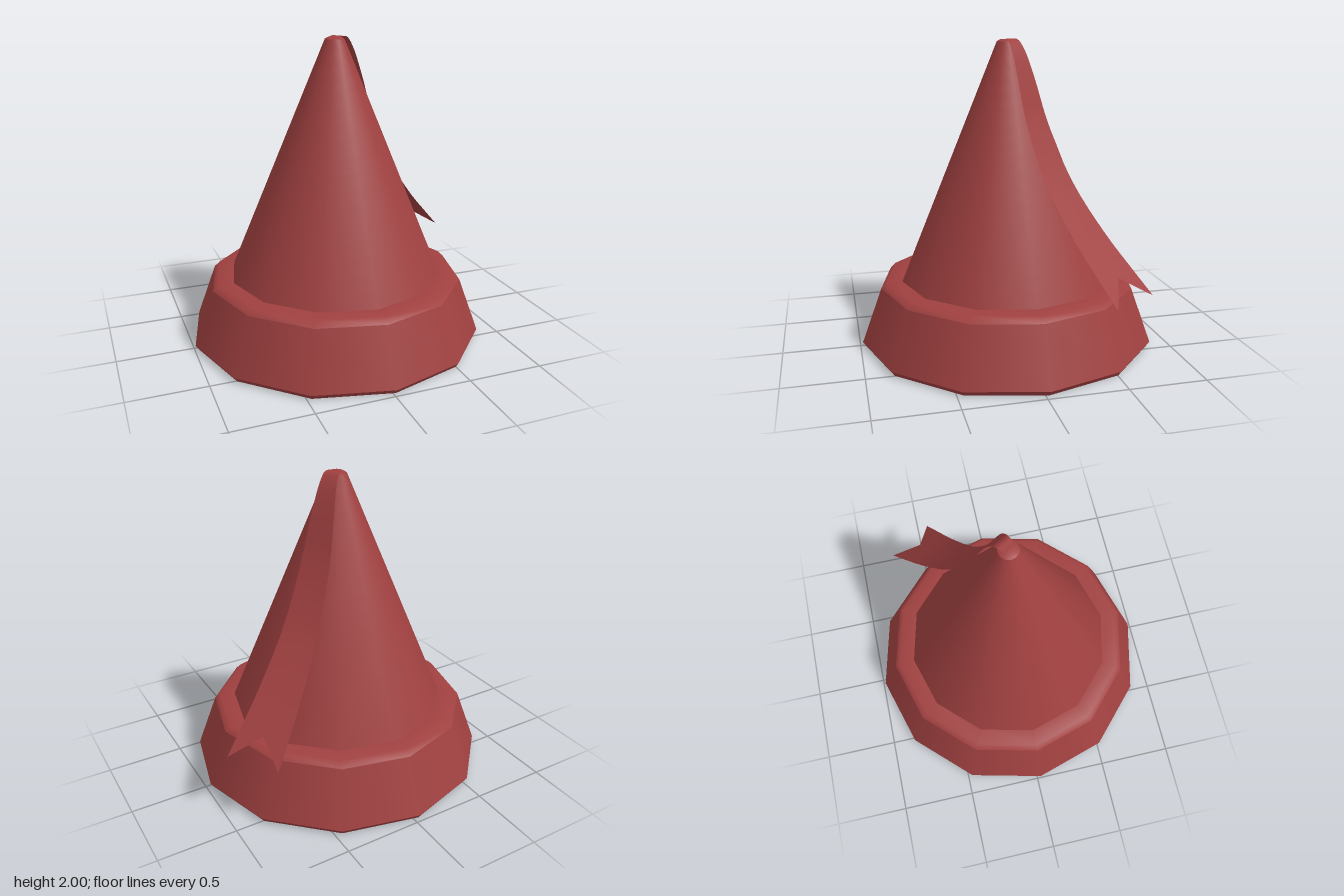
import * as THREE from 'three';
import { mergeGeometries } from 'three/addons/utils/BufferGeometryUtils.js';

const SIDES = 12;
const TWIST = 0.026;

// Twelve-sided turned shape: smooth within each run of points, sharp between runs
function turned(...runs) {
  const geometry = mergeGeometries(runs.map((run) => new THREE.LatheGeometry(
    run.map(([r, y]) => new THREE.Vector2(r, y)), SIDES, TWIST, Math.PI * 2)));
  geometry.normalizeNormals();
  return geometry;
}

// Evenly spaced points along a straight wall
function wall([r0, y0], [r1, y1], rows = 16) {
  return Array.from({ length: rows + 1 }, (_, i) => [
    THREE.MathUtils.lerp(r0, r1, i / rows), THREE.MathUtils.lerp(y0, y1, i / rows),
  ]);
}

// Ribbon that widens as it swoops away from the tip, ending in a swallowtail
function ribbonGeometry() {
  // distance from the axis, height, half width
  const path = new THREE.CatmullRomCurve3([
    [0, 2.0, 0.043], [0.05, 1.998, 0.05], [0.1, 1.94, 0.058], [0.172, 1.765, 0.077], [0.268, 1.49, 0.098],
    [0.457, 1.13, 0.12], [0.715, 0.82, 0.146], [0.93, 0.615, 0.165], [1.06, 0.495, 0.176],
  ].map((p) => new THREE.Vector3(...p)));
  const steps = 32;
  const notch = 0.875; // where the middle of the tail stops
  const out = new THREE.Vector2(0.847, -0.533);
  const side = new THREE.Vector2(0.533, 0.847);
  const pos = [];
  const index = [];
  for (let i = 0; i <= steps; i++) {
    for (const s of [-1, 0, 1]) {
      const t = i / steps;
      const p = path.getPoint(s === 0 ? Math.min(t, notch) : t);
      const w = p.z * s;
      pos.push(out.x * p.x + side.x * w, p.y, out.y * p.x + side.y * w);
    }
    if (i === steps) break;
    // mirrored diagonals, so both tails fan out from the notch
    const a = i * 3;
    index.push(a, a + 1, a + 3, a + 1, a + 4, a + 3);
    index.push(a + 1, a + 2, a + 5, a + 1, a + 5, a + 4);
  }
  const geometry = new THREE.BufferGeometry();
  geometry.setAttribute('position', new THREE.Float32BufferAttribute(pos, 3));
  geometry.setIndex(index);
  geometry.computeVertexNormals();
  return geometry;
}

export function createModel() {
  const group = new THREE.Group();
  const cloth = new THREE.MeshStandardMaterial({ color: 0xa04040 });
  const thinCloth = cloth.clone();
  thinCloth.side = THREE.DoubleSide;

  const add = (name, geometry, material, x = 0) => {
    const mesh = new THREE.Mesh(geometry, material);
    mesh.name = name;
    mesh.position.x = x;
    group.add(mesh);
  };

  // Outer cone with a small bevelled tip
  add('cone', turned(
    wall([0.712, 0.43], [0.063, 1.985]),
    [[0.063, 1.985], [0.04, 1.998], [0, 1.998]],
  ), cloth, -0.007);

  // Hollow inside, listed from the top down so it faces inward
  add('lining', turned(wall([0.04, 1.97], [0.863, 0])), cloth, -0.007);

  // Flared band with bevelled rims around the foot of the cone
  add('brim', turned(
    [[0.863, 0], [0.965, 0]],
    [[0.965, 0], [0.985, 0.03]],
    [[0.985, 0.03], [0.852, 0.393]],
    [[0.852, 0.393], [0.815, 0.43], [0.7, 0.43]],
  ), cloth, -0.009);

  // Trailing ribbon
  add('ribbon', ribbonGeometry(), thinCloth);

  return group;
}
